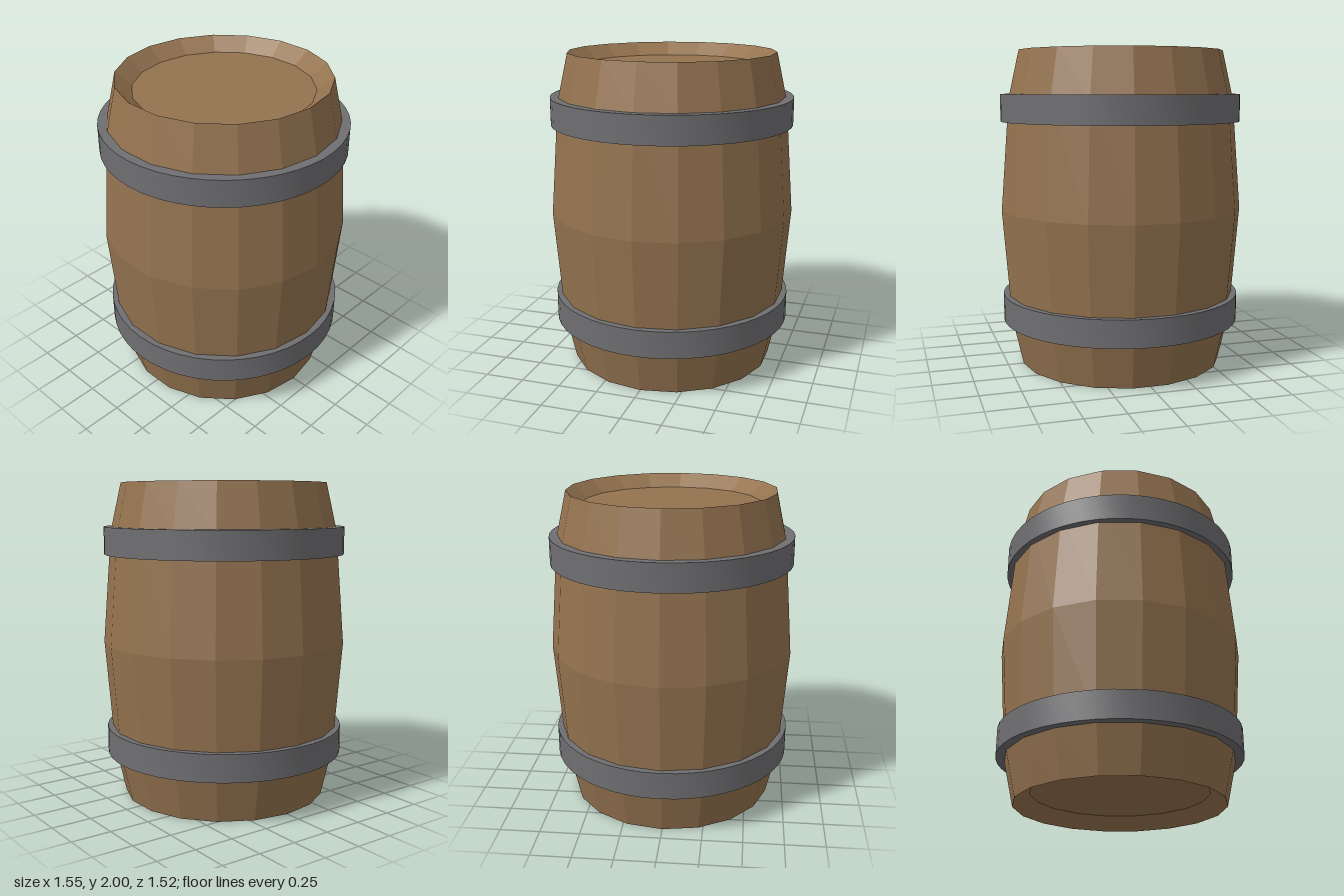
import * as THREE from 'three';
import { toCreasedNormals } from 'three/addons/utils/BufferGeometryUtils.js';

const wood = new THREE.MeshStandardMaterial({ color: 0x94734f });
wood.name = 'wood';
const iron = new THREE.MeshStandardMaterial({ color: 0x6f6f72 });
iron.name = 'iron';

// Spins [radius, height] pairs, listed bottom to top on the outside
function lathe(profile, sides, phiStart = 0) {
  const points = profile.map(([r, y]) => new THREE.Vector2(r, y));
  return new THREE.LatheGeometry(points, sides, phiStart);
}

function addPart(group, name, geometry, material) {
  const mesh = new THREE.Mesh(geometry, material);
  mesh.name = name;
  group.add(mesh);
  return mesh;
}

export function createModel() {
  const barrel = new THREE.Group();
  barrel.name = 'barrel';

  // Eighteen flat staves, with bevelled rims running in to the recessed heads
  const sides = 18;
  const phi = Math.PI / sides;
  const staves = lathe([
    [0.55, 0.08], [0.65, 0], [0.718, 0.3], [0.773, 1],
    [0.718, 1.7], [0.65, 2], [0.55, 1.92],
  ], sides, phi).toNonIndexed();
  staves.computeVertexNormals();
  addPart(barrel, 'staves', staves, wood);

  // Recessed heads at both ends
  for (const [name, y, tilt] of [['topHead', 1.92, -1], ['bottomHead', 0.08, 1]]) {
    const head = addPart(barrel, name, new THREE.CircleGeometry(0.55, sides), wood);
    head.rotation.x = tilt * Math.PI / 2;
    head.position.y = y;
  }

  // Round hoops that sink into the staves
  for (const [name, y] of [['lowerHoop', 0.365], ['upperHoop', 1.642]]) {
    const h = 0.086;
    const hoop = toCreasedNormals(lathe([
      [0.68, -h], [0.762, -h], [0.762, h], [0.68, h], [0.68, -h],
    ], 48), Math.PI / 6);
    addPart(barrel, name, hoop, iron).position.y = y;
  }

  return barrel;
}
